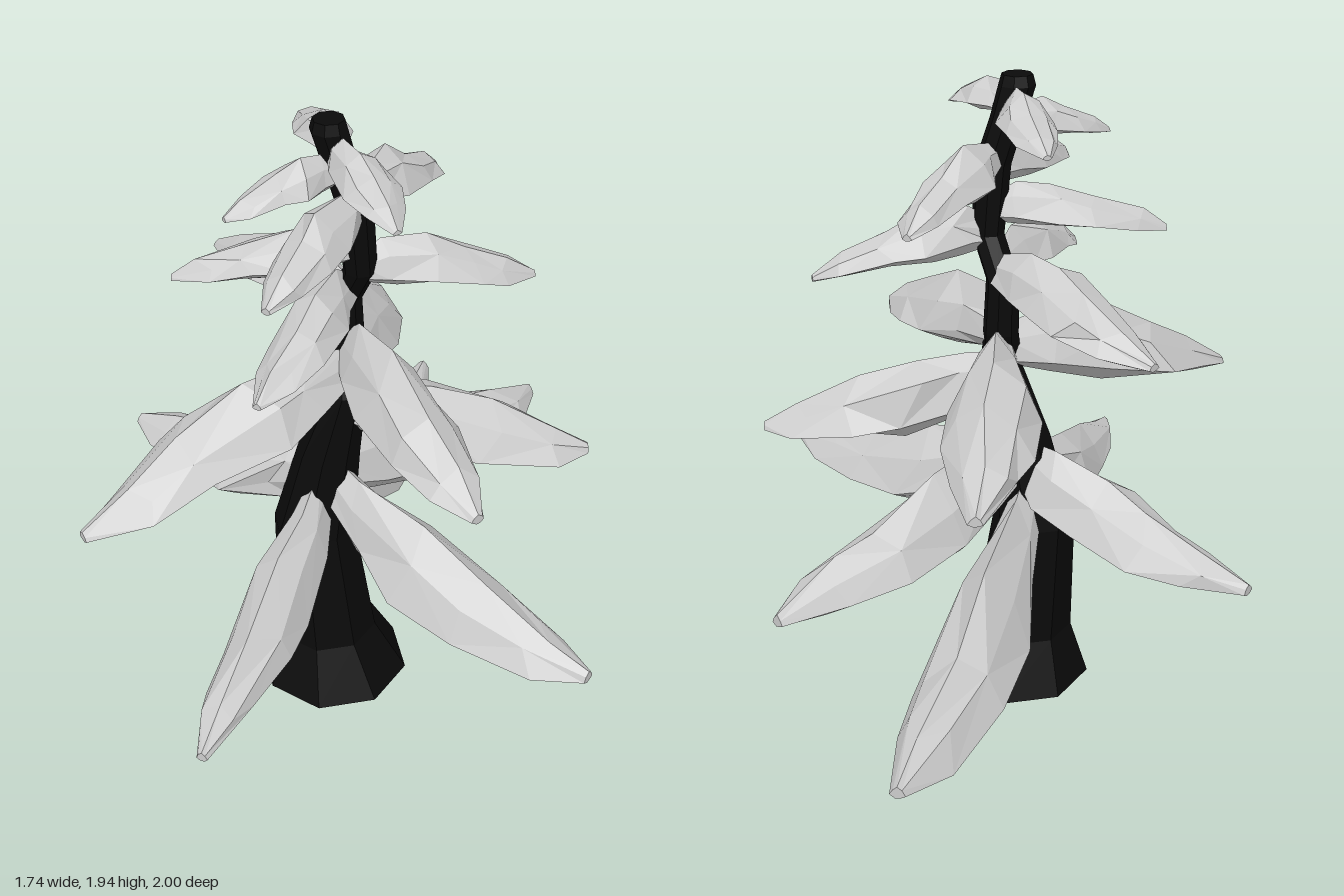
import * as THREE from 'three';

const foliage = new THREE.MeshStandardMaterial({ color: 0xcccccc, flatShading: true });
const bark = new THREE.MeshStandardMaterial({ color: 0x0a0a0a, flatShading: true });

let seed = 7;
const jitter = (amount) => {
  seed = (seed * 16807) % 2147483647;
  return (seed / 2147483647 - 0.5) * 2 * amount;
};

// Closed skin over a row of rings, each running counterclockwise about the direction of travel
function loft(rings) {
  const n = rings[0].length;
  const pos = rings.flat().flatMap((p) => p.toArray());
  const index = [];
  for (let i = 0; i < rings.length - 1; i++) {
    for (let j = 0; j < n; j++) {
      const a = i * n + j, b = i * n + (j + 1) % n;
      // alternate the diagonal for irregular facets
      if ((i + j) % 2) index.push(a, b, b + n, a, b + n, a + n);
      else index.push(a, b, a + n, b, b + n, a + n);
    }
  }
  const last = (rings.length - 1) * n;
  for (let j = 1; j < n - 1; j++) {
    index.push(0, j + 1, j, last, last + j, last + j + 1);
  }
  const geo = new THREE.BufferGeometry();
  geo.setAttribute('position', new THREE.Float32BufferAttribute(pos, 3));
  geo.setIndex(index);
  const flat = geo.toNonIndexed();
  flat.computeVertexNormals();
  return flat;
}

// Trunk stations: y, centre x, centre z, radius
const TRUNK = [
  [0.01, -0.06, 0.11, 0.17], [0.04, -0.06, 0.11, 0.225], [0.21, -0.08, 0.117, 0.15],
  [0.6, -0.12, 0.115, 0.12], [0.88, -0.075, 0.095, 0.09], [1.1, -0.025, 0.075, 0.058],
  [1.22, -0.05, 0.03, 0.05], [1.38, -0.055, 0.03, 0.046], [1.5, 0.012, 0.055, 0.046],
  [1.7, 0.005, 0.07, 0.05], [1.83, -0.03, 0.09, 0.048], [1.92, -0.05, 0.105, 0.05],
  [1.95, -0.05, 0.105, 0.042],
];

function trunkAt(y) {
  const k = Math.max(1, TRUNK.findIndex((s) => s[0] >= y));
  const a = TRUNK[k - 1], b = TRUNK[k];
  const t = (y - a[0]) / (b[0] - a[0]);
  return new THREE.Vector3(a[1] + (b[1] - a[1]) * t, y, a[2] + (b[2] - a[2]) * t);
}

function trunkGeometry() {
  return loft(TRUNK.map(([y, x, z, r]) => Array.from({ length: 8 }, (_, j) => {
    const a = (j + 0.5) / 8 * Math.PI * 2;
    return new THREE.Vector3(x + Math.sin(a) * r * 1.04, y, z + Math.cos(a) * r * 1.04);
  })));
}

// Bough outline (side, up), and stations: position, width, height
const SECTION = [[0, 0.55], [0.62, 0.25], [1, -0.25], [0.3, -0.5], [-0.4, -0.45], [-1, -0.2], [-0.65, 0.25]];
const STATIONS = [
  [0, 0.35, 0.55], [0.17, 0.65, 0.92], [0.38, 1, 1.05], [0.6, 1, 0.72], [0.82, 0.72, 0.46], [1, 0.16, 0.14],
];

function boughGeometry(tip, baseY, width, height, bend) {
  const base = trunkAt(baseY);
  const along = tip.clone().sub(base);
  const side = new THREE.Vector3(-along.z, 0, along.x).normalize();
  return loft(STATIONS.map(([t, w, h], i) => {
    const inner = i > 0 && i < STATIONS.length - 1;
    const c = base.clone().addScaledVector(along, t);
    c.y += Math.sin(Math.PI * t ** 0.8) * bend;
    if (inner) c.addScaledVector(side, jitter(width * 0.05));
    return SECTION.map(([u, v]) => {
      const p = c.clone().addScaledVector(side, u * w * width / 2 * (1 + jitter(0.12)));
      p.y += v * h * height * (1 + jitter(0.18));
      if (inner) p.addScaledVector(along, jitter(0.055));
      return p;
    });
  }));
}

// Boughs: tip x, y, z, base height, width, thickness, bend
const BOUGHS = [
  // lowest whorl
  [-0.41, 0.42, -1.0, 0.7, 0.26, 0.26, -0.12],
  [0.12, 0.5, 0.99, 0.76, 0.21, 0.22, -0.06],
  [0.87, 0.56, 0.22, 0.8, 0.26, 0.24, -0.07],
  [-0.87, 0.63, 0.03, 0.8, 0.26, 0.2, -0.04],
  [0.12, 0.63, -0.81, 0.8, 0.26, 0.25, -0.01],
  // middle whorl
  [0.57, 0.89, -0.31, 1.06, 0.25, 0.22, 0],
  [-0.38, 0.92, 0.83, 1.16, 0.28, 0.2, 0.04],
  [-0.38, 0.99, -0.6, 1.15, 0.26, 0.21, 0.03],
  [0.57, 1.08, 0.35, 1.22, 0.23, 0.2, 0.03],
  // upper whorl
  [-0.62, 1.3, -0.12, 1.4, 0.24, 0.15, 0.03],
  [0.02, 1.34, 0.55, 1.42, 0.17, 0.13, 0.04],
  [0.35, 1.41, -0.32, 1.5, 0.18, 0.13, 0.04],
  [-0.39, 1.5, 0.37, 1.57, 0.17, 0.12, 0.03],
  // crown
  [0.04, 1.62, 0.52, 1.69, 0.17, 0.13, 0.03],
  [-0.03, 1.62, -0.39, 1.72, 0.17, 0.13, 0.03],
  [-0.18, 1.75, 0.39, 1.8, 0.14, 0.1, 0.03],
  [0.27, 1.8, 0.28, 1.86, 0.15, 0.09, 0.03],
  [-0.29, 1.81, -0.13, 1.86, 0.15, 0.09, 0.03],
];

export function createModel() {
  const tree = new THREE.Group();
  tree.name = 'tree';

  const trunk = new THREE.Mesh(trunkGeometry(), bark);
  trunk.name = 'trunk';
  tree.add(trunk);

  const boughs = new THREE.Group();
  boughs.name = 'boughs';
  BOUGHS.forEach(([x, y, z, baseY, width, height, bend], i) => {
    const bough = new THREE.Mesh(
      boughGeometry(new THREE.Vector3(x, y, z), baseY, width, height, bend), foliage);
    bough.name = `bough${i + 1}`;
    boughs.add(bough);
  });
  tree.add(boughs);
  return tree;
}
